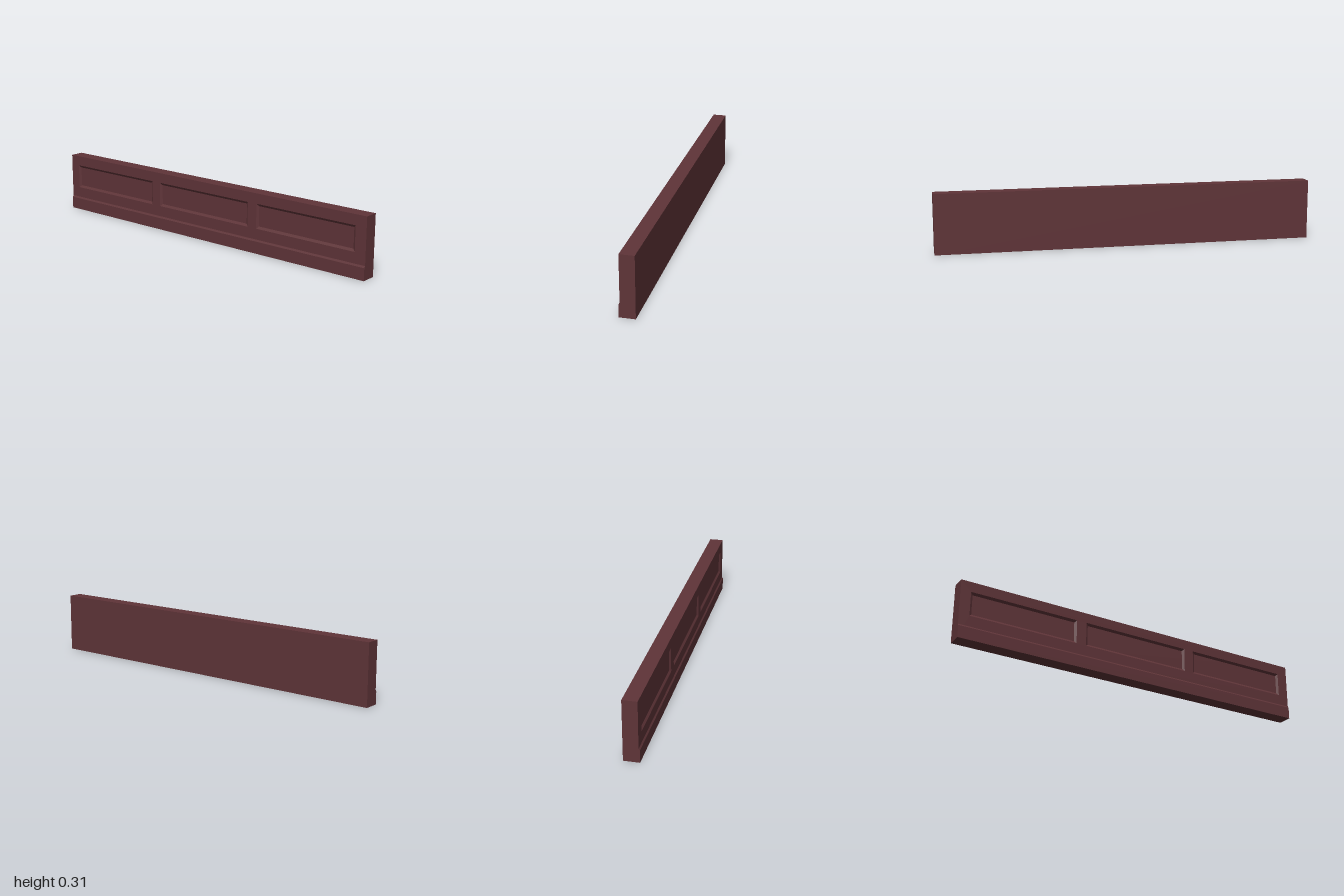
import * as THREE from 'three';

const HEIGHT = 0.314, BACK = -0.04, FLOOR = 0.026, FACE = 0.034, SKIRT = 0.04;
const PANEL_BOTTOM = 0.13, PANEL_TOP = 0.26, BEVEL = 0.012;
const PANELS = [[-0.945, -0.36], [-0.305, 0.3], [0.355, 0.94]];

function rectangle(Type, x0, y0, x1, y1) {
  return new Type([[x0, y0], [x1, y0], [x1, y1], [x0, y1]].map(p => new THREE.Vector2(...p)));
}

// Four sloped strips running from the face down to the recessed panel
function bevelRim(x0, y0, x1, y1, inset) {
  const loop = (d, z) => [
    [x0 + d, y0 + d, z], [x1 - d, y0 + d, z], [x1 - d, y1 - d, z], [x0 + d, y1 - d, z],
  ];
  const outer = loop(0, FACE), inner = loop(inset, FLOOR);
  const points = [];
  for (let i = 0; i < 4; i++) {
    const j = (i + 1) % 4;
    points.push(outer[i], outer[j], inner[j], outer[i], inner[j], inner[i]);
  }
  const geometry = new THREE.BufferGeometry();
  geometry.setAttribute('position', new THREE.Float32BufferAttribute(points.flat(), 3));
  geometry.computeVertexNormals();
  return geometry;
}

export function createModel() {
  const group = new THREE.Group();
  group.name = 'panelledBoard';
  const wood = new THREE.MeshStandardMaterial({ color: 0x5f3438 });
  const add = (name, geometry) => {
    const mesh = new THREE.Mesh(geometry, wood);
    mesh.name = name;
    group.add(mesh);
    return mesh;
  };

  // Solid core, whose front is the floor of the recesses
  add('core', new THREE.BoxGeometry(2, HEIGHT, FLOOR - BACK))
    .position.set(0, HEIGHT / 2, (FLOOR + BACK) / 2);

  // Front frame with three openings
  const frame = rectangle(THREE.Shape, -1, 0, 1, HEIGHT);
  for (const [x0, x1] of PANELS) {
    frame.holes.push(rectangle(THREE.Path, x0, PANEL_BOTTOM, x1, PANEL_TOP));
  }
  add('frame', new THREE.ExtrudeGeometry(frame, { depth: FACE - FLOOR, bevelEnabled: false }))
    .position.z = FLOOR;

  // Bevelled edges of the recessed panels
  PANELS.forEach(([x0, x1], i) => {
    add(`panelBevel${i + 1}`, bevelRim(x0, PANEL_BOTTOM, x1, PANEL_TOP, BEVEL));
  });

  // Skirting strip with a chamfered top, profile swept along x
  const profile = new THREE.Shape([
    [-FACE, 0], [-FACE, 0.073], [-SKIRT, 0.064], [-SKIRT, 0],
  ].map(p => new THREE.Vector2(...p)));
  const skirting = add('skirting', new THREE.ExtrudeGeometry(profile, { depth: 2, bevelEnabled: false }));
  skirting.rotation.y = Math.PI / 2;
  skirting.position.x = -1;

  return group;
}
